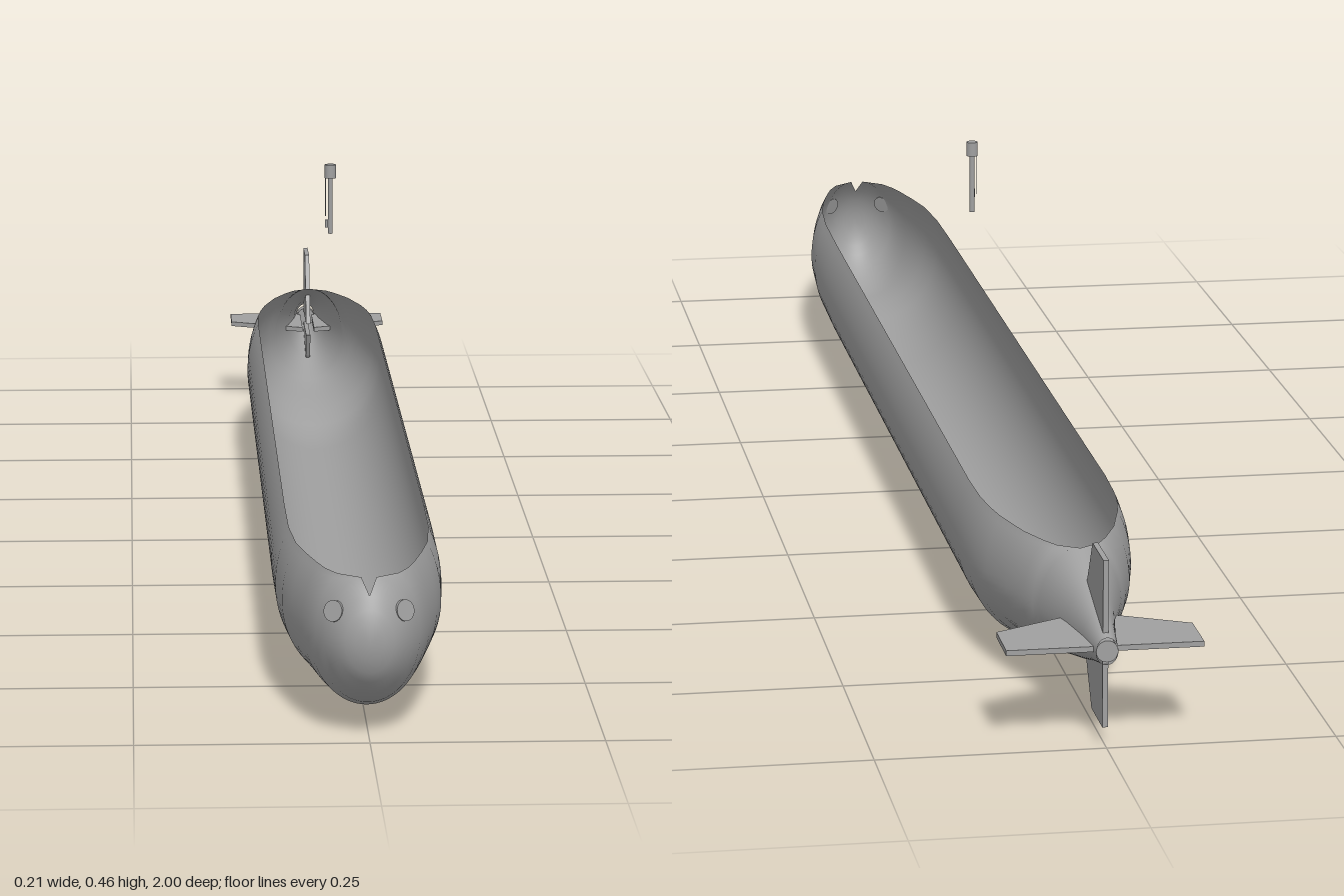
import * as THREE from 'three';
import { mergeVertices } from 'three/addons/utils/BufferGeometryUtils.js';

const AXIS = 0.11; // height of the hull axis
const DECK = 0.175; // height at which the hull is cut open

// Hull stations: z, half width, height above the axis, depth below the axis
const STATIONS = [
  [1, 0, 0, 0], [0.997, 0.016, 0.021, 0.02], [0.992, 0.026, 0.034, 0.034],
  [0.985, 0.035, 0.048, 0.046], [0.97, 0.047, 0.066, 0.062], [0.95, 0.056, 0.08, 0.076],
  [0.925, 0.063, 0.091, 0.085], [0.9, 0.069, 0.097, 0.087], [0.85, 0.079, 0.106, 0.088],
  [0.8, 0.087, 0.114, 0.094], [0.72, 0.092, 0.119, 0.104], [0.6, 0.093, 0.12, 0.108],
  [-0.56, 0.093, 0.12, 0.108], [-0.62, 0.091, 0.119, 0.106], [-0.66, 0.088, 0.115, 0.095],
  [-0.7, 0.082, 0.11, 0.081], [-0.76, 0.069, 0.096, 0.072], [-0.8, 0.057, 0.081, 0.066],
  [-0.82, 0.05, 0.073, 0.061], [-0.835, 0.045, 0.065, 0.057], [-0.9, 0.027, 0.044, 0.041],
  [-0.95, 0.018, 0.029, 0.027], [-1, 0.012, 0.015, 0.015],
];

// Open shell lofted through the stations, each section cut off at the deck
function hullGeometry() {
  const n = 56, pos = [], index = [];
  STATIONS.forEach(([z, a, up, down], i) => {
    const start = Math.asin(Math.min(1, (DECK - AXIS) / Math.max(up, 1e-6)));
    for (let j = 0; j <= n; j++) {
      const t = start - (j / n) * (Math.PI + 2 * start);
      const s = Math.sin(t);
      pos.push(a * Math.cos(t), AXIS + s * (s > 0 ? up : down), z);
      if (i < STATIONS.length - 1 && j < n) {
        const p = i * (n + 1) + j, q = p + n + 1;
        index.push(p, p + 1, q, p + 1, q + 1, q);
      }
    }
  });
  const g = new THREE.BufferGeometry();
  g.setAttribute('position', new THREE.Float32BufferAttribute(pos, 3));
  g.setIndex(index);
  const merged = mergeVertices(g, 1e-5);
  merged.computeVertexNormals();
  return merged;
}

// Swept fin lying flat, reaching out along +x from the hull axis
function finGeometry(span) {
  const shape = new THREE.Shape([
    new THREE.Vector2(0.008, -0.99), new THREE.Vector2(span, -0.99),
    new THREE.Vector2(span, -0.925), new THREE.Vector2(0.04, -0.89),
    new THREE.Vector2(0.008, -0.875),
  ]);
  const g = new THREE.ExtrudeGeometry(shape, { depth: 0.006, bevelEnabled: false });
  return g.translate(0, 0, -0.003).rotateX(Math.PI / 2);
}

export function createModel() {
  const model = new THREE.Group();
  model.name = 'submarine';
  const grey = new THREE.MeshStandardMaterial({ color: 0xa0a0a0, side: THREE.DoubleSide });
  grey.name = 'hullGrey';

  function add(name, geometry, x = 0, y = 0, z = 0) {
    const mesh = new THREE.Mesh(geometry, grey);
    mesh.name = name;
    mesh.position.set(x, y, z);
    model.add(mesh);
    return mesh;
  }

  add('hull', hullGeometry());

  // Round ports on the bow, set along the surface
  for (const side of [1, -1]) {
    const port = add(side > 0 ? 'leftBowPort' : 'rightBowPort',
      new THREE.CylinderGeometry(0.0115, 0.0115, 0.006, 28), side * 0.037, 0.14, 0.976);
    port.quaternion.setFromUnitVectors(new THREE.Vector3(0, 1, 0),
      new THREE.Vector3(side * 18, 7.5, 25).normalize());
  }

  // Tail fins in a cross, and the shaft hub
  const fins = [['leftFin', 0.107], ['upperFin', 0.098], ['rightFin', 0.107], ['lowerFin', 0.088]];
  fins.forEach(([name, span], i) => {
    add(name, finGeometry(span), 0, AXIS, 0).rotation.z = i * Math.PI / 2;
  });
  add('shaftHub', new THREE.CylinderGeometry(0.012, 0.012, 0.02, 24).rotateX(Math.PI / 2), 0, AXIS, -0.99);

  // Raised mast standing clear above the open hull
  add('mast', new THREE.CylinderGeometry(0.003, 0.003, 0.072, 16), 0, 0.411, -0.078);
  add('mastHead', new THREE.CylinderGeometry(0.007, 0.007, 0.017, 20), 0, 0.4535, -0.078);
  add('mastWire', new THREE.CylinderGeometry(0.0005, 0.0005, 0.05, 6), -0.006, 0.422, -0.078);
  add('mastWeight', new THREE.CylinderGeometry(0.002, 0.002, 0.01, 10), -0.006, 0.392, -0.05);

  return model;
}
